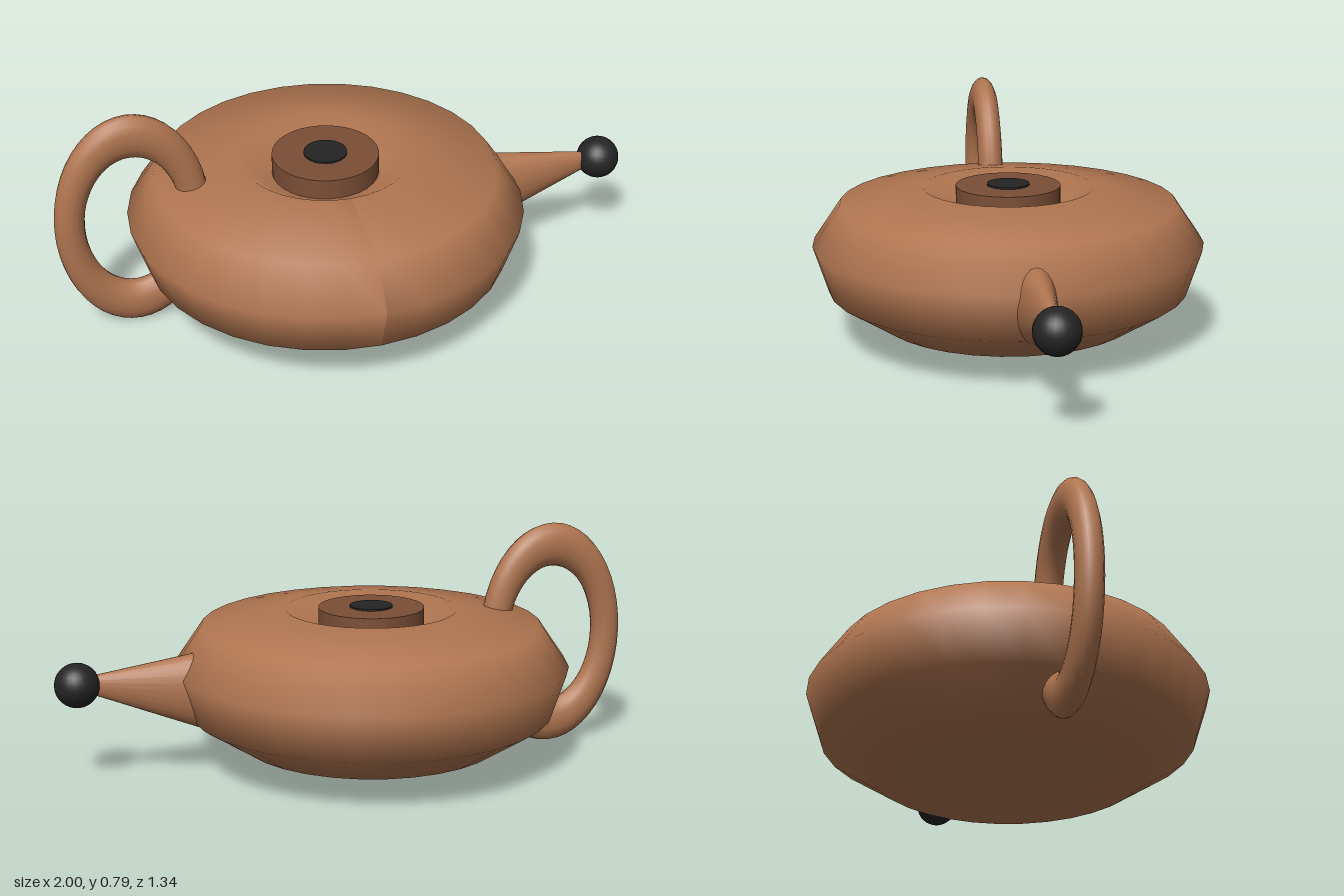
import * as THREE from 'three';

export function createModel() {
  const model = new THREE.Group();
  const clay = new THREE.MeshStandardMaterial({ name: 'clay', color: 0xb07550 });
  const darkClay = new THREE.MeshStandardMaterial({ name: 'darkClay', color: 0x7a4e36 });
  const black = new THREE.MeshStandardMaterial({ name: 'black', color: 0x242424 });
  clay.side = THREE.DoubleSide;

  const add = (name, geometry, material, x, y, z = 0) => {
    const mesh = new THREE.Mesh(geometry, material);
    mesh.name = name;
    mesh.position.set(x, y, z);
    model.add(mesh);
    return mesh;
  };

  // Squat pot with a sunken rim around the lid
  const profile = [
    [0, 0.055], [0.45, 0.07], [0.62, 0.18], [0.672, 0.34],
    [0.577, 0.48], [0.29, 0.53], [0.2, 0.465], [0, 0.465],
  ].map(([r, y]) => new THREE.Vector2(r, y));
  const pot = new THREE.LatheGeometry(profile, 32);
  pot.computeVertexNormals();
  add('body', pot, clay, -0.08, 0);

  // Lid disc and its flat knob
  add('lid', new THREE.CylinderGeometry(0.18, 0.18, 0.07, 32), darkClay, -0.08, 0.5);
  add('lidKnob', new THREE.CylinderGeometry(0.073, 0.073, 0.008, 24), black, -0.08, 0.537);

  // Tall oval handle
  const handle = add('handle', new THREE.TorusGeometry(0.21, 0.05, 16, 48), clay, -0.74, 0.395);
  handle.scale.set(1, 1.51, 0.9);

  // Flattened tapering spout, tilted slightly upward
  const spout = new THREE.CylinderGeometry(0.02, 0.162, 0.52, 24);
  spout.rotateZ(-Math.PI / 2);
  spout.scale(1, 1, 0.55);
  spout.rotateZ(0.12);
  add('spout', spout, clay, 0.66, 0.312);
  add('spoutBall', new THREE.SphereGeometry(0.074, 24, 16), black, 0.925, 0.34);

  return model;
}
